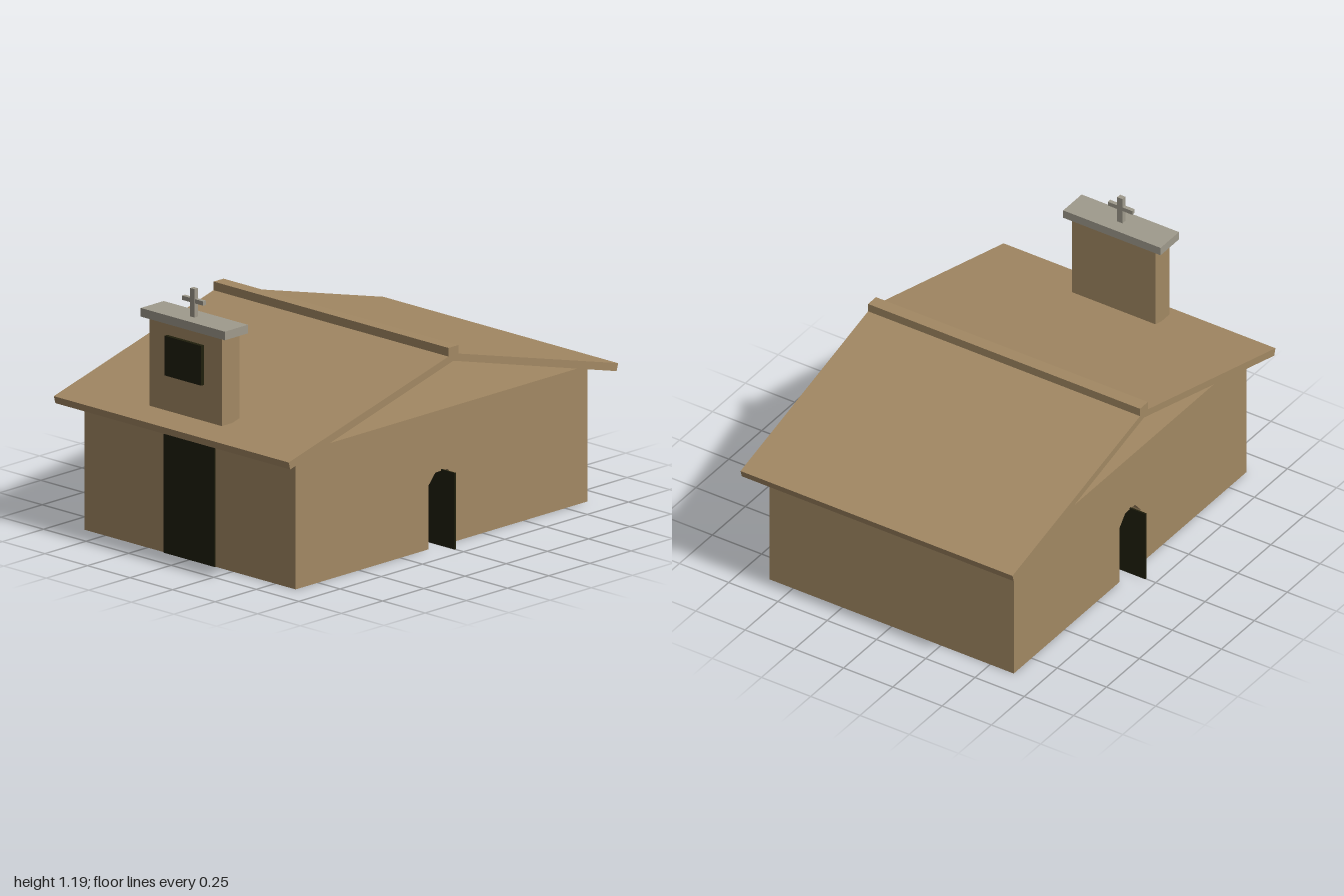
import * as THREE from 'three';

const mat = (name, color) => {
  const m = new THREE.MeshStandardMaterial({ color });
  m.name = name;
  return m;
};

export function createModel() {
  const group = new THREE.Group();
  const adobe = mat('adobe brown', 0xa28863);
  const stone = mat('stone grey', 0x9f9a8c);
  const dark = mat('dark wood', 0x1f1e0c);

  const add = (name, geometry, material) => {
    const mesh = new THREE.Mesh(geometry, material);
    mesh.name = name;
    group.add(mesh);
    return mesh;
  };
  // Box given by its limits on each axis
  const box = (name, material, [x0, x1], [y0, y1], [z0, z1]) => {
    const mesh = add(name, new THREE.BoxGeometry(x1 - x0, y1 - y0, z1 - z0), material);
    mesh.position.set((x0 + x1) / 2, (y0 + y1) / 2, (z0 + z1) / 2);
    return mesh;
  };

  const W = 0.62, D = 0.885, H = 0.6, T = 0.11;

  // Wall panel with a chamfered arch doorway cut up from the ground
  const archWall = (half, doorHalf, spring, top, flat) => {
    const pts = [
      [-half, 0], [-doorHalf, 0], [-doorHalf, spring], [-flat, top],
      [flat, top], [doorHalf, spring], [doorHalf, 0], [half, 0], [half, H], [-half, H],
    ];
    const shape = new THREE.Shape(pts.map(([x, y]) => new THREE.Vector2(x, y)));
    return new THREE.ExtrudeGeometry(shape, { depth: T, bevelEnabled: false });
  };

  // Walls and ceiling
  add('frontWall', archWall(W - T, 0.15, 0.44, 0.53, 0.07), adobe).position.z = D - T;
  box('backWall', adobe, [-W + T, W - T], [0, H], [-D, -D + T]);
  for (const s of [-1, 1]) {
    const side = s > 0 ? 'left' : 'right';
    const wall = add(side + 'Wall', archWall(D, 0.08, 0.28, 0.33, 0.037), adobe);
    wall.rotation.y = s * Math.PI / 2;
    wall.position.x = s * (W - T);
    // Side door leaf standing open across the wall
    const leaf = box(side + 'DoorLeaf', dark, [-0.08, 0.08], [0, 0.337], [-0.004, 0.004]);
    leaf.position.x = s * W;
  }
  box('ceiling', adobe, [-W + T, W - T], [H - 0.015, H], [-D + T, D - T]);
  box('frontDoor', dark, [-0.15, 0.15], [0, 0.55], [D - 0.003, D + 0.006]);

  // Gabled roof from one chevron section
  const section = new THREE.Shape([
    [-1, 0.6], [-0.99, 0.567], [0, 0.83], [0.99, 0.567], [1, 0.6], [0, 0.863],
  ].map(([z, y]) => new THREE.Vector2(z, y)));
  const roofGeo = new THREE.ExtrudeGeometry(section, { depth: 1.38, bevelEnabled: false });
  roofGeo.translate(0, 0, -0.69).rotateY(Math.PI / 2);
  add('roof', roofGeo, adobe);
  box('ridgeBeam', adobe, [-0.69, 0.69], [0.833, 0.893], [-0.03, 0.03]);

  // Bell tower with window, cap and cross
  box('tower', adobe, [-0.212, 0.212], [0.64, 1.03], [0.803, 0.912]);
  box('towerWindow', dark, [-0.108, 0.108], [0.8, 0.975], [0.911, 0.93]);
  box('towerCap', stone, [-0.247, 0.247], [1.03, 1.068], [0.79, 0.93]);
  box('crossPost', stone, [-0.013, 0.013], [1.068, 1.193], [0.85, 0.872]);
  box('crossArm', stone, [-0.062, 0.062], [1.13, 1.149], [0.852, 0.87]);

  return group;
}
